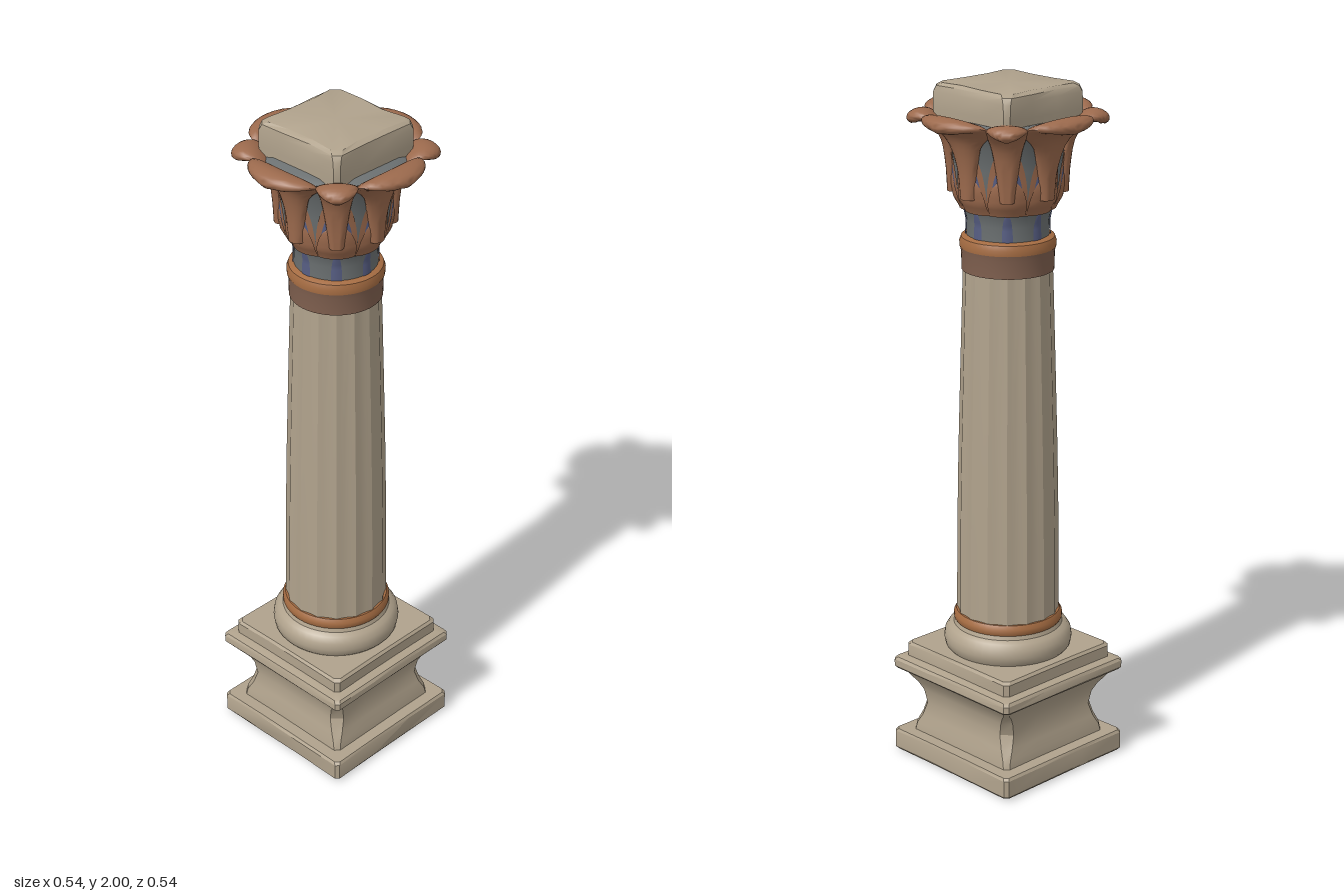
import * as THREE from 'three';
import { toCreasedNormals } from 'three/addons/utils/BufferGeometryUtils.js';

const paint = (name, color, side = THREE.FrontSide) => {
  const m = new THREE.MeshStandardMaterial({ color, side });
  m.name = name;
  return m;
};

// Small seeded generator for worn stone edges
let seed = 7;
const rand = () => {
  seed = (seed * 16807) % 2147483647;
  return seed / 2147483647;
};

// Skin a stack of closed rings and cap both ends
function loft(rings, crease = 0.6) {
  const n = rings[0].length, pos = rings.flat(2), index = [];
  const cap = (ring, start, flip) => {
    const c = [0, 1, 2].map(k => ring.reduce((s, p) => s + p[k], 0) / n);
    const id = pos.length / 3;
    pos.push(...c);
    for (let i = 0; i < n; i++) {
      const a = start + i, b = start + (i + 1) % n;
      index.push(id, flip ? b : a, flip ? a : b);
    }
  };
  for (let r = 0; r < rings.length - 1; r++) {
    for (let i = 0; i < n; i++) {
      const a = r * n + i, b = r * n + (i + 1) % n;
      index.push(a, b, b + n, a, b + n, a + n);
    }
  }
  cap(rings[0], 0, true);
  cap(rings[rings.length - 1], (rings.length - 1) * n, false);
  const g = new THREE.BufferGeometry();
  g.setAttribute('position', new THREE.Float32BufferAttribute(pos, 3));
  g.setIndex(index);
  return toCreasedNormals(g, crease);
}

// Square ring with chamfered corners and slightly dented sides
function squareRing(y, half, chamfer, wear) {
  const pts = [];
  for (let s = 0; s < 4; s++) {
    const e = half - chamfer;
    [-e, -half * 0.35, half * 0.3, e].forEach((u, i) => {
      const d = half - (i === 1 || i === 2 ? rand() * wear : 0);
      const c = Math.round(Math.cos(s * Math.PI / 2)), n = Math.round(Math.sin(s * Math.PI / 2));
      pts.push([u * c + d * n, y, -u * n + d * c]);
    });
  }
  return pts;
}
const squareStack = rows => loft(rows.map(([y, h, c, w = 0.002]) => squareRing(y, h, c, w)), 0.5);

const lathe = (rows, sides = 48) => toCreasedNormals(
  new THREE.LatheGeometry(rows.map(([r, y]) => new THREE.Vector2(r, y)), sides), 0.6);

// Bell of the capital as radius by height
const BELL = [[0.116, 1.56], [0.114, 1.62], [0.122, 1.66], [0.138, 1.685], [0.145, 1.72],
  [0.15, 1.78], [0.16, 1.84], [0.18, 1.88], [0.19, 1.9]];
function bellRadius(y) {
  let i = 0;
  while (i < BELL.length - 2 && y > BELL[i + 1][1]) i++;
  const [r0, y0] = BELL[i], [r1, y1] = BELL[i + 1];
  return r0 + (r1 - r0) * (y - y0) / (y1 - y0);
}

// Pointed leaf hugging the bell
function bellLeaf(y0, y1, halfAngle, lift) {
  const rows = 10, cols = 6, g = new THREE.PlaneGeometry(1, 1, cols, rows), p = g.attributes.position;
  for (let i = 0; i < p.count; i++) {
    const t = p.getY(i) + 0.5, u = p.getX(i) * 2;
    const y = y0 + (y1 - y0) * t;
    const a = u * halfAngle * Math.sqrt(Math.max(0, 1 - t ** 2.2));
    const r = bellRadius(y) + lift * (1 - 0.5 * u * u);
    p.setXYZ(i, r * Math.sin(a), y, r * Math.cos(a));
  }
  g.computeVertexNormals();
  return g;
}

// Thick curling petal; points hold radius, height and half width
function petal(points, thick) {
  const curve = new THREE.CatmullRomCurve3(points.map(p => new THREE.Vector3(...p)));
  const rings = [], steps = 18, sides = 20;
  for (let i = 0; i <= steps; i++) {
    const t = i / steps, c = curve.getPoint(t), d = curve.getTangent(t);
    const len = Math.hypot(d.x, d.y) || 1, nr = d.y / len, ny = -d.x / len;
    const th = thick * (t > 0.85 ? 1 - (t - 0.85) * 4 : 1), ring = [];
    for (let j = 0; j < sides; j++) {
      const f = j / sides * Math.PI * 2, x = c.z * Math.sin(f), o = th * Math.cos(f);
      const bend = 3 * (1 - t) * x * x;
      ring.push([x, c.y + ny * o, c.x + nr * o - bend]);
    }
    rings.push(ring);
  }
  return loft(rings, 1.2);
}

export function createModel() {
  const stone = paint('stone', 0xb0a28c);
  const terracotta = paint('terracotta', 0x9c6a4d, THREE.DoubleSide);
  const umber = paint('umber', 0x80604f);
  const ochre = paint('ochre', 0xa56c42);
  const slate = paint('slate', 0x6c7172, THREE.DoubleSide);
  const indigo = paint('indigo', 0x565d82, THREE.DoubleSide);

  const model = new THREE.Group();
  model.name = 'column';
  const add = (name, geo, mat, parent = model) => {
    const m = new THREE.Mesh(geo, mat);
    m.name = name;
    parent.add(m);
    return m;
  };

  // Pedestal
  add('plinth', squareStack([[0.003, 0.234, 0.012], [0.01, 0.24, 0.01, 0.004], [0.06, 0.24, 0.01, 0.004],
    [0.068, 0.235, 0.012]]), stone);
  add('pedestalBody', squareStack([[0.06, 0.2, 0.012], [0.09, 0.197, 0.015], [0.12, 0.188, 0.022], [0.16, 0.181, 0.028],
    [0.2, 0.186, 0.024], [0.225, 0.196, 0.018], [0.24, 0.206, 0.012], [0.255, 0.215, 0.012], [0.27, 0.232, 0.012]]), stone);
  add('pedestalCornice', squareStack([[0.265, 0.234, 0.012], [0.272, 0.24, 0.01], [0.292, 0.24, 0.01, 0.004],
    [0.3, 0.234, 0.012], [0.306, 0.212, 0.012]]), stone);
  add('pedestalTop', squareStack([[0.295, 0.212, 0.012], [0.34, 0.212, 0.012, 0.004], [0.348, 0.205, 0.014]]), stone);

  // Worn patches under the plinth
  [[-0.1, -0.11, 0.17, 0.04, 0.1], [0.17, -0.02, 0.04, 0.3, 0], [0.11, 0.1, 0.1, 0.03, -0.1]].forEach(([x, z, w, d, turn]) => {
    const patch = add('wornPatch', new THREE.BoxGeometry(w, 0.006, d), umber);
    patch.position.set(x, 0.003, z);
    patch.rotation.y = turn;
  });

  // Round shaft base
  add('shaftBase', lathe([[0, 0.34], [0.17, 0.34], [0.182, 0.355], [0.186, 0.375], [0.183, 0.395], [0.172, 0.412],
    [0.158, 0.42], [0.154, 0.432], [0, 0.432]]), stone);
  add('baseRing', lathe([[0, 0.428], [0.152, 0.428], [0.157, 0.436], [0.157, 0.45], [0.15, 0.462], [0, 0.462]]), ochre);

  // Shallow fluted shaft with a gentle taper
  const shaftRings = [[0.45, 0.148], [0.7, 0.146], [0.95, 0.141], [1.2, 0.134], [1.4, 0.128], [1.49, 0.125]];
  add('shaft', loft(shaftRings.map(([y, r]) => Array.from({ length: 96 }, (_, i) => {
    const a = i / 96 * Math.PI * 2, k = r * (1 - 0.035 * Math.abs(Math.sin(a * 8)));
    return [k * Math.sin(a), y, k * Math.cos(a)];
  })), 0.3), stone);

  // Neck bands
  add('neckBand', lathe([[0, 1.48], [0.129, 1.48], [0.13, 1.53], [0.134, 1.55], [0, 1.55]]), umber);
  add('neckRing', lathe([[0, 1.545], [0.134, 1.545], [0.135, 1.56], [0.13, 1.574], [0.116, 1.58], [0, 1.58]]), ochre);

  // Capital bell with painted leaves
  const capital = new THREE.Group();
  capital.name = 'capital';
  model.add(capital);
  add('bell', lathe([...BELL, [0.17, 1.91], [0, 1.91]]), slate, capital);

  const neckLeaf = bellLeaf(1.58, 1.66, 0.13, 0.003);
  const collarLeaf = bellLeaf(1.655, 1.85, 0.4, 0.005);
  const blueTip = bellLeaf(1.69, 1.805, 0.29, 0.009);
  const lowerLeaf = bellLeaf(1.655, 1.765, 0.39, 0.013);
  const broadPetal = petal([[0.15, 1.7, 0.025], [0.154, 1.78, 0.035], [0.168, 1.85, 0.06], [0.188, 1.89, 0.105],
    [0.215, 1.913, 0.116], [0.238, 1.915, 0.098], [0.255, 1.908, 0.062], [0.264, 1.9, 0.008]], 0.019);
  const cornerPetal = petal([[0.15, 1.7, 0.02], [0.155, 1.78, 0.03], [0.168, 1.85, 0.042], [0.195, 1.892, 0.055],
    [0.225, 1.91, 0.055], [0.25, 1.908, 0.046], [0.263, 1.898, 0.028], [0.268, 1.89, 0.008]], 0.017);

  for (let i = 0; i < 8; i++) {
    const turn = i * Math.PI / 4;
    const place = (name, geo, mat, extra = 0) => {
      add(name, geo, mat, capital).rotation.y = turn + extra;
    };
    place('neckLeaf', neckLeaf, indigo);
    place('collarLeaf', collarLeaf, terracotta);
    place('blueLeafTip', blueTip, indigo);
    place('lowerLeaf', lowerLeaf, terracotta);
    place(i % 2 ? 'cornerPetal' : 'broadPetal', i % 2 ? cornerPetal : broadPetal, terracotta);
  }

  // Worn block on top
  add('topBlock', squareStack([[1.88, 0.146, 0.012], [1.93, 0.15, 0.012, 0.005], [1.975, 0.15, 0.014, 0.008],
    [1.992, 0.146, 0.018, 0.01], [2, 0.136, 0.022, 0.01]]), stone);
  return model;
}
